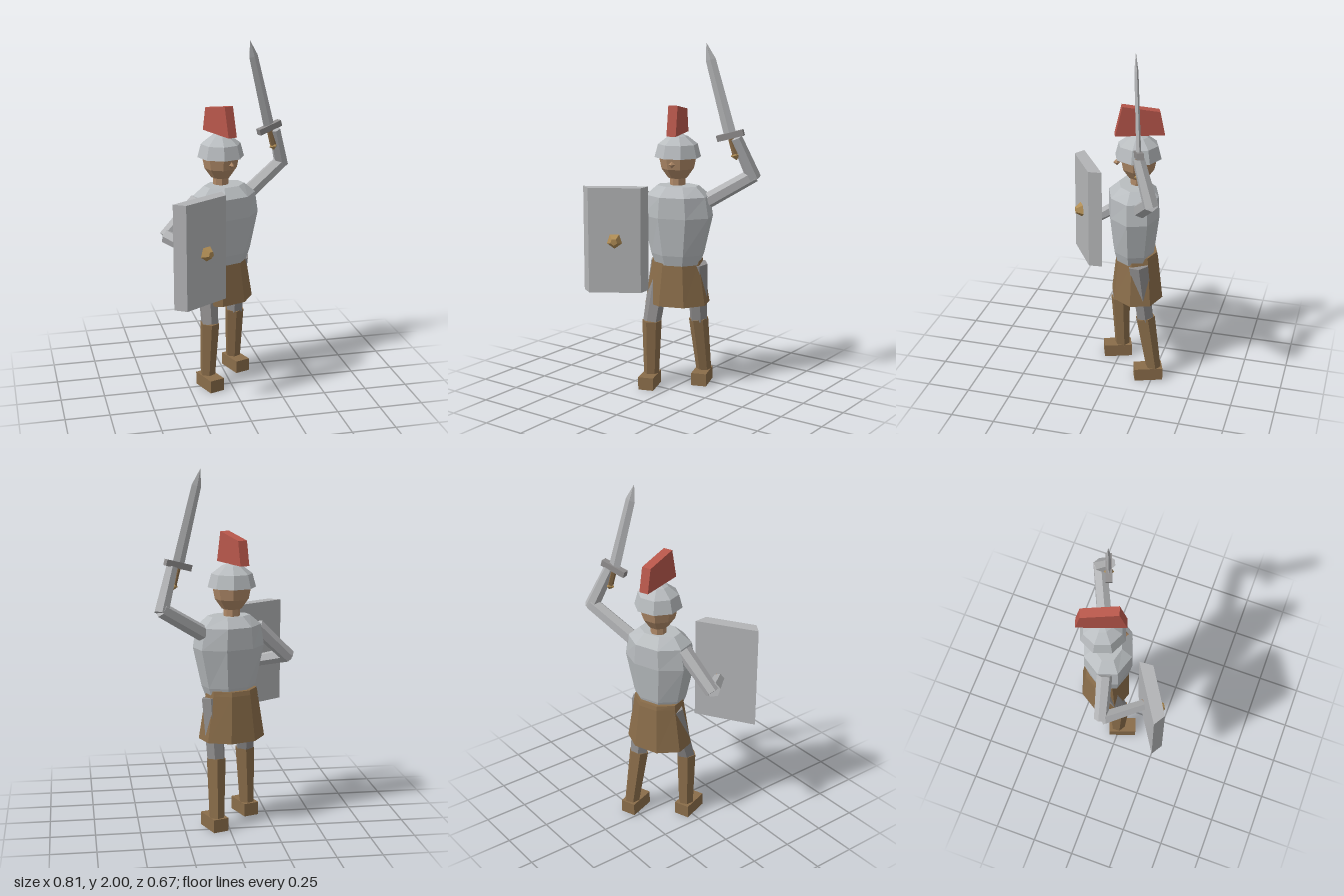
import * as THREE from 'three';

const YAW = 0.34; // the body is turned a little to its left

const mat = (name, color) => {
  const m = new THREE.MeshStandardMaterial({ color, flatShading: true });
  m.name = name;
  return m;
};

// Stacks of rings [y, rx, rz] with n sides, closed at both ends
function loft(rings, n = 8, phase = 0.5) {
  const first = rings[0], last = rings[rings.length - 1];
  const all = [[first[0], 0, 0], ...rings, [last[0], 0, 0]];
  const pts = [];
  const at = ([y, rx, rz], i) => {
    const a = ((i + phase) / n) * Math.PI * 2;
    return [rx * Math.sin(a), y, rz * Math.cos(a)];
  };
  for (let r = 0; r < all.length - 1; r++) {
    const lo = all[r], hi = all[r + 1];
    for (let i = 0; i < n; i++) {
      const a = at(lo, i), b = at(lo, i + 1), c = at(hi, i + 1), d = at(hi, i);
      if (lo[1] > 0) pts.push(...a, ...b, ...c);
      if (hi[1] > 0) pts.push(...a, ...c, ...d);
    }
  }
  const g = new THREE.BufferGeometry();
  g.setAttribute('position', new THREE.Float32BufferAttribute(pts, 3));
  g.computeVertexNormals();
  return g;
}

export function createModel() {
  const steel = mat('steel', 0xb9bdc0);
  const iron = mat('iron', 0xb3b4b6);
  const darkIron = mat('dark iron', 0x8f8d8d);
  const leather = mat('leather', 0x8a6d4a);
  const skin = mat('skin', 0xb08a68);
  const bronze = mat('bronze', 0xb08d55);
  const red = mat('red', 0xb8574b);

  const model = new THREE.Group();
  model.name = 'soldier';

  const add = (name, geo, material, pos = [0, 0, 0], yaw = 0, parent = model) => {
    const m = new THREE.Mesh(geo, material);
    m.name = name;
    m.position.set(...pos);
    m.rotation.y = yaw;
    parent.add(m);
    return m;
  };

  // Tapered limb from point a to point b
  const limb = (name, a, b, ra, rb, material, sides = 6) => {
    const p = new THREE.Vector3(...a), q = new THREE.Vector3(...b);
    const d = q.clone().sub(p);
    const m = add(name, new THREE.CylinderGeometry(rb, ra, d.length(), sides), material);
    m.position.copy(p).add(q).multiplyScalar(0.5);
    m.quaternion.setFromUnitVectors(new THREE.Vector3(0, 1, 0), d.normalize());
    return m;
  };

  // Torso and skirt
  add('cuirass', loft([
    [0.74, 0.135, 0.105], [0.8, 0.158, 0.122], [1.02, 0.21, 0.148],
    [1.14, 0.19, 0.145], [1.195, 0.125, 0.085],
  ]), steel, [-0.015, 0, -0.105], YAW);
  add('skirt', loft([
    [0.5, 0.193, 0.152], [0.76, 0.15, 0.122], [0.785, 0.146, 0.115],
  ]), leather, [-0.03, 0, -0.125], YAW);

  // Head
  const headPos = [-0.03, 0, -0.125];
  add('neck', loft([[1.17, 0.045, 0.045], [1.25, 0.045, 0.045]]), skin, headPos, YAW);
  add('head', loft([
    [1.235, 0.055, 0.055], [1.29, 0.094, 0.094], [1.36, 0.108, 0.108], [1.42, 0.1, 0.1],
  ]), skin, headPos, YAW);
  add('nose', new THREE.OctahedronGeometry(0.02), skin, [0.008, 1.325, -0.012], YAW);
  add('helmet', loft([
    [1.355, 0.134, 0.134], [1.43, 0.114, 0.114], [1.475, 0.055, 0.055], [1.495, 0.004, 0.004],
  ]), steel, headPos, YAW);

  // Crest: a side profile given thickness, higher at the front
  const crestShape = new THREE.Shape([
    [-0.138, 1.485], [0.138, 1.485], [0.098, 1.655], [-0.11, 1.62],
  ].map(([z, y]) => new THREE.Vector2(-z, y)));
  const crestGeo = new THREE.ExtrudeGeometry(crestShape, { depth: 0.054, bevelEnabled: false });
  crestGeo.translate(0, 0, -0.027).rotateY(Math.PI / 2);
  add('crest', crestGeo, red, [-0.035, 0, -0.13], YAW);

  // Legs: hip, knee, ankle, foot centre
  const legs = [
    ['right', [-0.125, 0.74, -0.1], [-0.125, 0.39, 0.0], [-0.137, 0.06, -0.01], [-0.13, 0.0375, 0.018]],
    ['left', [0.085, 0.74, -0.16], [0.068, 0.39, -0.2], [0.072, 0.06, -0.255], [0.08, 0.0375, -0.222]],
  ];
  for (const [side, hip, knee, ankle, foot] of legs) {
    limb(side + 'Thigh', hip, knee, 0.062, 0.052, darkIron);
    const shinTop = [knee[0], knee[1] + 0.01, knee[2]];
    limb(side + 'Shin', ankle, shinTop, 0.044, 0.057, leather);
    add(side + 'Foot', new THREE.BoxGeometry(0.09, 0.075, 0.164), leather, foot, YAW);
  }

  // Arms
  limb('leftUpperArm', [0.14, 1.11, -0.185], [0.375, 1.265, -0.295], 0.045, 0.042, iron);
  limb('leftForearm', [0.375, 1.245, -0.297], [0.308, 1.48, -0.21], 0.042, 0.034, iron);
  limb('rightUpperArm', [-0.18, 1.12, -0.065], [-0.375, 0.93, -0.018], 0.045, 0.04, iron);
  limb('rightForearm', [-0.37, 0.94, -0.01], [-0.2, 0.87, 0.17], 0.042, 0.034, iron);
  add('rightHand', new THREE.OctahedronGeometry(0.035), skin, [-0.185, 0.87, 0.175]);

  // Shield: trapezoid plan pulled upward
  const plan = new THREE.Shape([
    [-0.385, 0.295], [-0.32, 0.335], [-0.07, 0.18], [-0.075, 0.1],
  ].map(([x, z]) => new THREE.Vector2(x, -z)));
  const shieldGeo = new THREE.ExtrudeGeometry(plan, { depth: 0.6, bevelEnabled: false });
  shieldGeo.rotateX(-Math.PI / 2);
  add('shield', shieldGeo, iron, [0, 0.61, 0]);
  const bossGeo = new THREE.CylinderGeometry(0.02, 0.05, 0.045, 5).rotateX(Math.PI / 2);
  add('shieldBoss', bossGeo, bronze, [-0.187, 0.91, 0.27], 0.56);

  // Sword: y along the blade, x along the guard
  const sword = new THREE.Group();
  sword.name = 'sword';
  const up = new THREE.Vector3(-0.16, 0.63, 0.065).normalize();
  const across = new THREE.Vector3(0.16, 0.04, -0.06);
  const flat = across.cross(up).normalize();
  const side = up.clone().cross(flat);
  sword.quaternion.setFromRotationMatrix(new THREE.Matrix4().makeBasis(side, up, flat));
  sword.position.set(0.305, 1.37, -0.215);
  model.add(sword);
  add('pommel', new THREE.OctahedronGeometry(0.028), bronze, [0, 0.01, 0], 0, sword);
  add('grip', new THREE.CylinderGeometry(0.018, 0.018, 0.13, 6), leather, [0, 0.065, 0], 0, sword);
  add('guard', new THREE.BoxGeometry(0.155, 0.035, 0.036), darkIron, [0, 0.125, 0], 0, sword);
  add('blade', loft([
    [0.13, 0.036, 0.013], [0.56, 0.029, 0.011], [0.653, 0.001, 0.001],
  ], 4, 0), iron, [0, 0, 0], 0, sword);

  return model;
}
